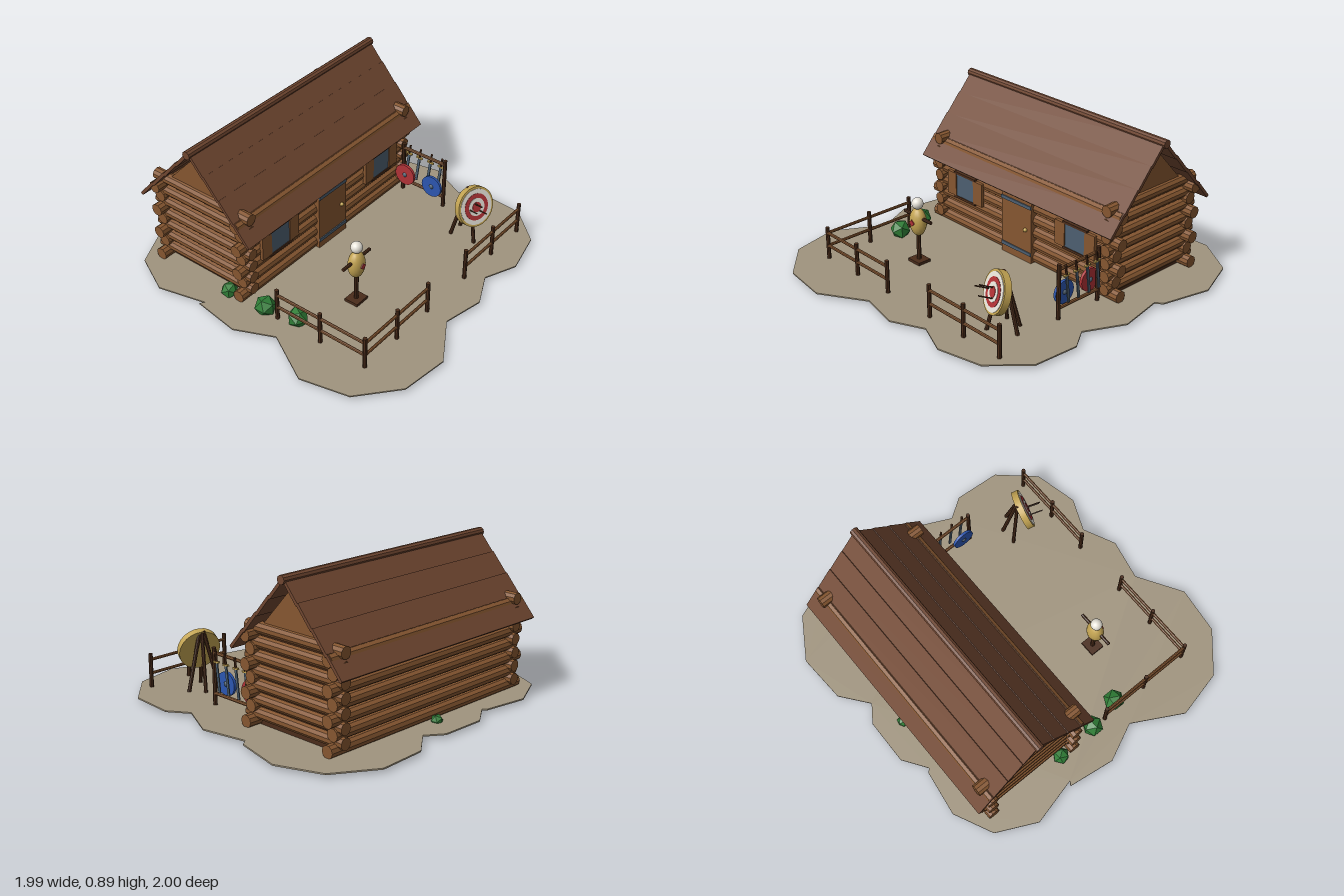
import * as THREE from 'three';

const mat = (name, color) => Object.assign(new THREE.MeshStandardMaterial({ color }), { name });
const M = {
  sand: mat('sand', 0xa0947e), log: mat('log wood', 0x855630), roof: mat('roof wood', 0x6f4630),
  dark: mat('dark wood', 0x4a2c1a), slate: mat('slate', 0x4d5f70), straw: mat('straw', 0xc2a352),
  white: mat('white', 0xe6e2d8), red: mat('red', 0xb03236), blue: mat('blue', 0x2c56b0), green: mat('green', 0x2f7d36),
};

// Faceted normals
function flat(g) {
  const f = g.index ? g.toNonIndexed() : g;
  f.computeVertexNormals();
  return f;
}
function add(parent, name, geo, material, x = 0, y = 0, z = 0) {
  const m = new THREE.Mesh(geo, material);
  m.name = name;
  m.position.set(x, y, z);
  parent.add(m);
  return m;
}
const box = (p, name, m, w, h, d, x, y, z) => add(p, name, new THREE.BoxGeometry(w, h, d), m, x, y, z);

// Round bar between two points
function rod(parent, name, material, a, b, r, sides = 8) {
  const A = new THREE.Vector3(...a), B = new THREE.Vector3(...b), d = B.clone().sub(A);
  const m = add(parent, name, flat(new THREE.CylinderGeometry(r, r, d.length(), sides)), material);
  m.position.copy(A).add(B).multiplyScalar(0.5);
  m.quaternion.setFromUnitVectors(new THREE.Vector3(0, 1, 0), d.normalize());
  return m;
}
// Disc whose axis is z
function disc(parent, name, material, r, t, z, sides = 24) {
  return add(parent, name, new THREE.CylinderGeometry(r, r, t, sides).rotateX(Math.PI / 2), material, 0, 0, z);
}
function group(parent, name, x = 0, y = 0, z = 0) {
  const g = new THREE.Group();
  g.name = name;
  g.position.set(x, y, z);
  parent.add(g);
  return g;
}

const ZC = -0.43; // cabin centre line

function ground(root) {
  const outline = [[-0.83, -0.79], [-0.6, -0.9], [-0.33, -0.86], [-0.31, -0.84], [-0.17, -0.935], [0.1, -0.93], [0.2, -0.86],
    [0.36, -0.985], [0.65, -1], [0.89, -0.85], [0.99, -0.59], [0.92, -0.3], [0.88, -0.27], [0.93, 0], [0.82, 0.23],
    [0.9, 0.35], [0.88, 0.62], [0.7, 0.82], [0.44, 0.88], [0.25, 0.8], [0.06, 0.89], [-0.18, 0.84], [-0.44, 1],
    [-0.72, 0.965], [-0.935, 0.78], [-1, 0.5], [-0.84, 0.21], [-0.94, -0.01], [-0.9, -0.29], [-0.875, -0.27], [-0.945, -0.555]];
  const shape = new THREE.Shape(outline.map(([x, z]) => new THREE.Vector2(x, -z)));
  const g = new THREE.ExtrudeGeometry(shape, { depth: 0.008, bevelEnabled: false }).rotateX(-Math.PI / 2);
  add(root, 'ground', g, M.sand, 0, 0.031, 0);
}

function cabin(root) {
  const c = group(root, 'cabin');
  box(c, 'innerWalls', M.dark, 1.34, 0.52, 0.57, 0, 0.288, ZC);

  // Crossed log walls with uneven ends
  for (let i = 0; i < 7; i++) {
    const y = 0.07 + i * 0.0775;
    for (const s of [-1, 1]) {
      const e = i % 2 ? 0.72 : 0.755;
      rod(c, 'longLog', M.log, [-e, y, ZC + s * 0.295], [e, y, ZC + s * 0.295], 0.036, 10);
      rod(c, 'sideLog', M.log, [s * 0.677, y + 0.034, ZC - 0.347], [s * 0.677, y + 0.034, ZC + 0.347], 0.034, 10);
    }
  }

  // Gable boards
  const tri = new THREE.Shape([[-0.232, 0.59], [0.232, 0.59], [0, 0.84]].map(p => new THREE.Vector2(...p)));
  for (const s of [-1, 1]) {
    const g = new THREE.ExtrudeGeometry(tri, { depth: 0.02, bevelEnabled: false }).translate(0, 0, -0.01).rotateY(Math.PI / 2);
    add(c, 'gable', g, M.log, s * 0.675, 0, ZC);
  }

  // Roof planks, four on each slope, and the ridge pole
  const run = 0.395, rise = 0.425, len = Math.hypot(run, rise), ang = Math.atan2(rise, run);
  for (const s of [-1, 1]) {
    const slope = group(c, 'roofSlope', 0, 0.88, ZC);
    slope.rotation.x = s > 0 ? ang : -ang;
    for (let i = 0; i < 4; i++) {
      const b = box(slope, 'roofPlank', M.roof, 1.525, 0.018, len / 4 + 0.006, 0, 0, s * (i + 0.5) * len / 4);
      b.rotation.x = s * 0.035;
    }
  }
  rod(c, 'ridgePole', M.roof, [-0.775, 0.88, ZC], [0.775, 0.88, ZC], 0.025, 10);

  // Door
  box(c, 'door', M.log, 0.24, 0.41, 0.045, -0.005, 0.242, -0.108);
  for (const y of [0.095, 0.387]) box(c, 'doorBand', M.slate, 0.24, 0.02, 0.008, -0.005, y, -0.083);
  add(c, 'doorKnob', new THREE.SphereGeometry(0.012, 10, 8), M.straw, 0.072, 0.24, -0.08);

  // Windows with open shutters
  for (const s of [-1, 1]) {
    const w = group(c, 'window', s * 0.45, 0.32, -0.098);
    box(w, 'glass', M.slate, 0.145, 0.14, 0.02, 0, 0, 0);
    for (const k of [-1, 1]) {
      box(w, 'shutter', M.log, 0.075, 0.145, 0.02, k * 0.112, 0, 0.004);
      box(w, 'frameRail', M.dark, 0.18, 0.014, 0.026, 0, k * 0.077, 0.002);
    }
  }
}

function fence(root) {
  const f = group(root, 'fence');
  const runs = [[[-0.725, 0.71], [-0.18, 0.71]], [[0.175, 0.71], [0.715, 0.71]], [[-0.725, 0.12], [-0.725, 0.71]]];
  for (const [a, b] of runs) {
    for (const t of [0, 0.5, 1]) {
      const x = a[0] + (b[0] - a[0]) * t, z = a[1] + (b[1] - a[1]) * t;
      rod(f, 'fencePost', M.dark, [x, 0.028, z], [x, 0.235, z], 0.012);
    }
    for (const y of [0.12, 0.2]) rod(f, 'fenceRail', M.log, [a[0], y, a[1]], [b[0], y, b[1]], 0.009);
  }
}

function target(root) {
  const t = group(root, 'target', 0.51, 0.26, 0.535);
  t.rotation.set(-0.3, -0.34, 0, 'YXZ');
  disc(t, 'strawDisc', M.straw, 0.12, 0.04, 0);
  [[0.107, M.white], [0.08, M.red], [0.054, M.white], [0.03, M.red]].forEach(([r, m], i) =>
    disc(t, 'targetRing', m, r, 0.004, 0.021 + i * 0.002));
  // Arrows stuck in the face
  for (const [x, y] of [[-0.045, -0.005], [-0.005, 0.02], [0.02, -0.03]])
    rod(t, 'arrow', M.dark, [x, y, 0.01], [x - 0.012, y + 0.005, 0.105], 0.004, 6);
  // Stand
  const s = group(root, 'targetStand');
  rod(s, 'leg', M.dark, [0.51, 0.37, 0.49], [0.46, 0.035, 0.42], 0.011);
  rod(s, 'leg', M.dark, [0.52, 0.36, 0.49], [0.56, 0.035, 0.42], 0.011);
  rod(s, 'leg', M.dark, [0.53, 0.36, 0.5], [0.62, 0.035, 0.495], 0.011);
  rod(s, 'frontLeg', M.dark, [0.49, 0.2, 0.54], [0.47, 0.035, 0.575], 0.011);
}

function dummy(root) {
  const d = group(root, 'trainingDummy', -0.345, 0, 0.355);
  box(d, 'base', M.dark, 0.095, 0.025, 0.085, 0, 0.043, 0);
  rod(d, 'post', M.dark, [0, 0.04, 0], [0, 0.38, 0], 0.013);
  add(d, 'body', new THREE.SphereGeometry(1, 16, 12).scale(0.055, 0.085, 0.046), M.straw, 0, 0.29, 0);
  add(d, 'head', new THREE.SphereGeometry(0.034, 16, 12), M.white, 0, 0.403, 0);
  rod(d, 'arms', M.dark, [-0.115, 0.32, 0], [0.115, 0.32, 0], 0.01);
  const mark = box(d, 'chestMark', M.red, 0.03, 0.03, 0.009, 0, 0.295, 0.044);
  mark.rotation.z = Math.PI / 4;
}

function rack(root) {
  const r = group(root, 'weaponRack', 0.65, 0, 0);
  for (const z of [0.232, -0.065]) rod(r, 'rackPost', M.dark, [0, 0.028, z], [0, 0.365, z], 0.012);
  for (const y of [0.105, 0.335]) rod(r, 'rackRail', M.log, [0, y, 0.235], [0, y, -0.07], 0.01);
  // Swords leaning on the rail
  for (const z of [0.185, 0.11, 0.03, -0.045]) {
    const s = group(r, 'sword', 0.017, 0.23, z);
    s.rotation.x = 0.12;
    box(s, 'blade', M.slate, 0.007, 0.17, 0.016, 0, -0.02, 0);
    box(s, 'guard', M.straw, 0.012, 0.01, 0.042, 0, 0.065, 0);
    rod(s, 'grip', M.dark, [0, 0.065, 0], [0, 0.125, 0], 0.007, 6);
  }
  // Round shields
  for (const [z, m] of [[0.165, M.blue], [-0.03, M.red]]) {
    const s = group(r, 'shield', -0.028, 0.168, z);
    s.rotation.y = -Math.PI / 2;
    disc(s, 'shieldFace', m, 0.068, 0.016, 0);
    add(s, 'shieldBoss', new THREE.SphereGeometry(0.017, 12, 8), M.slate);
  }
}

function bushes(root) {
  const list = [[-0.72, 0.03, 0.062], [-0.68, 0.225, 0.062], [-0.735, -0.22, 0.05],
    [0, -0.785, 0.035], [0.525, -0.42, 0.05], [0.585, -0.49, 0.05]];
  list.forEach(([x, z, r], i) => {
    const b = add(root, 'bush', flat(new THREE.IcosahedronGeometry(r, 0)), M.green, x, r + 0.01, z);
    b.rotation.y = i * 1.1;
  });
}

export function createModel() {
  const root = new THREE.Group();
  root.name = 'trainingCabin';
  ground(root);
  cabin(root);
  fence(root);
  target(root);
  dummy(root);
  rack(root);
  bushes(root);
  return root;
}
